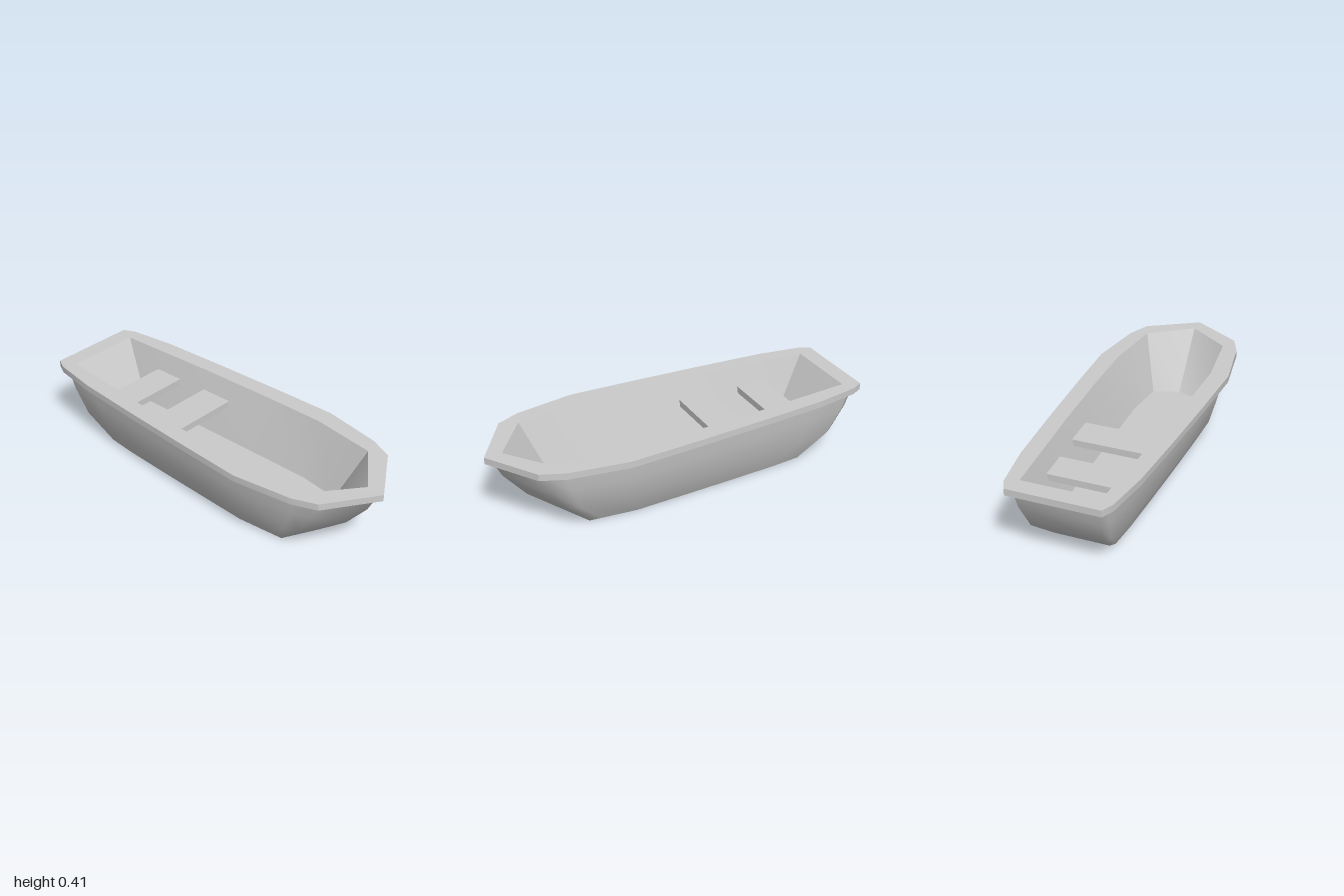
import * as THREE from 'three';
import { toCreasedNormals } from 'three/addons/utils/BufferGeometryUtils.js';

// Half outlines [x, z], from the bow tip along the +z side to the stern
const BOTTOM = [[0.64, 0], [0.55, 0.175], [0.49, 0.182], [0.3, 0.203], [0.02, 0.196],
  [-0.25, 0.188], [-0.52, 0.178], [-0.68, 0.165], [-0.705, 0.145]];
const HULL_TOP = [[0.965, 0], [0.81, 0.235], [0.7, 0.278], [0.4, 0.326], [0.05, 0.312],
  [-0.35, 0.292], [-0.7, 0.265], [-0.925, 0.235], [-0.965, 0.21]];
const RIM = [[1, 0], [0.83, 0.262], [0.71, 0.313], [0.4, 0.363], [0.05, 0.348],
  [-0.35, 0.326], [-0.7, 0.302], [-0.94, 0.265], [-1, 0.235]];
const OPENING = [[0.91, 0], [0.74, 0.225], [0.68, 0.232], [0.4, 0.265], [0.05, 0.256],
  [-0.35, 0.238], [-0.7, 0.214], [-0.91, 0.2], [-0.91, 0.17]];
const FLOOR = [[0.67, 0], [0.62, 0.14], [0.58, 0.145], [0.4, 0.165], [0.05, 0.157],
  [-0.3, 0.147], [-0.6, 0.136], [-0.73, 0.13], [-0.73, 0.1]];
const RIM_LOW = 0.372, RIM_HIGH = 0.407, FLOOR_Y = 0.11;

// Mirror a half outline into a closed ring at height y; the bow may dip slightly
function ring(half, y, dip = 0) {
  const full = [...half, ...half.slice(1).reverse().map(([x, z]) => [x, -z])];
  return full.map(([x, z]) => [x, y - (x > 0.9 ? dip : 0), z]);
}

// Skin consecutive rings of equal point count
function loft(rings) {
  const n = rings[0].length, index = [];
  for (let r = 0; r < rings.length - 1; r++) {
    for (let i = 0; i < n; i++) {
      const j = (i + 1) % n;
      const a = r * n + i, b = r * n + j, A = a + n, B = b + n;
      index.push(a, A, B, a, B, b);
    }
  }
  return build(rings.flat(2), index);
}

// Close a ring with a flat fan facing up or down
function cap(points, up) {
  const n = points.length, index = [];
  for (let i = 0; i < n; i++) {
    const j = (i + 1) % n;
    index.push(n, ...(up ? [j, i] : [i, j]));
  }
  return build([...points.flat(), 0, points[0][1], 0], index);
}

function build(positions, index) {
  const g = new THREE.BufferGeometry();
  g.setAttribute('position', new THREE.Float32BufferAttribute(positions, 3));
  g.setIndex(index);
  g.computeVertexNormals();
  return g;
}

export function createModel() {
  const boat = new THREE.Group();
  boat.name = 'rowingBoat';
  const material = new THREE.MeshStandardMaterial({ color: 0xcccccc });
  const add = (name, geometry) => {
    const mesh = new THREE.Mesh(geometry, material);
    mesh.name = name;
    boat.add(mesh);
    return mesh;
  };

  // Hull: flares from the flat bottom, with a bow that rakes forward
  const levels = [
    { y: 0, bow: 0, side: 0 },
    { y: 0.135, bow: 0.5, side: 0.6 },
    { y: 0.275, bow: 0.85, side: 0.88 },
    { y: RIM_LOW, bow: 1, side: 1 },
  ];
  const hullRings = levels.map(({ y, bow, side }) => ring(BOTTOM.map(([x, z], i) => {
    const t = i === 0 ? bow : side;
    return [
      THREE.MathUtils.lerp(x, HULL_TOP[i][0], i < 2 ? bow : t),
      THREE.MathUtils.lerp(z, HULL_TOP[i][1], t),
    ];
  }), y));
  add('hull', loft(hullRings));
  add('hullBottom', cap(hullRings[0], false));

  // Gunwale: overhanging rim with a flat top
  add('gunwale', toCreasedNormals(loft([
    ring(HULL_TOP, RIM_LOW, 0.004),
    ring(RIM, RIM_LOW, 0.004),
    ring(RIM, RIM_HIGH, 0.004),
    ring(OPENING, RIM_HIGH, 0.004),
  ]), 0.5));

  // Inside walls and floor
  const floorRing = ring(FLOOR, FLOOR_Y);
  add('innerWalls', toCreasedNormals(loft([ring(OPENING, RIM_HIGH, 0.004), floorRing]), 0.5));
  add('floor', cap(floorRing, true));

  // Bench seats
  for (const [name, x, width, length] of [
    ['sternBench', -0.59, 0.165, 0.42],
    ['middleBench', -0.25, 0.18, 0.45],
  ]) {
    add(name, new THREE.BoxGeometry(width, 0.036, length)).position.set(x, 0.286, 0);
  }

  return boat;
}
